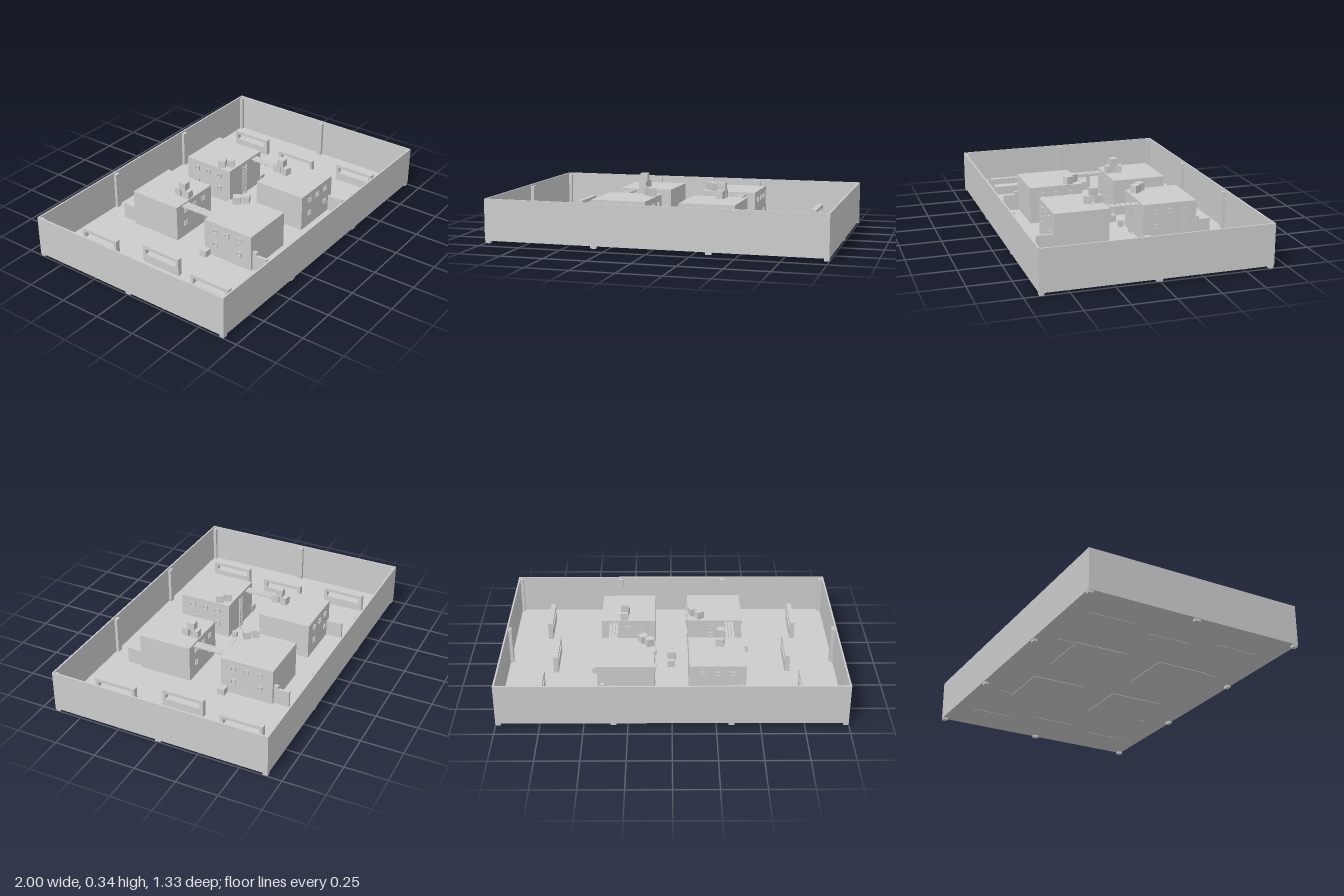
import * as THREE from 'three';

const grey = new THREE.MeshStandardMaterial({ color: 0xcccccc });
grey.name = 'plain grey';

const FLOOR = 0.02, ROOF = 0.245, WALL_TOP = 0.26, CRATE = 0.046;

// Box given by its centre in plan, its bottom and its top
function box(parent, name, x, z, w, d, y0, y1, turn = 0) {
  const mesh = new THREE.Mesh(new THREE.BoxGeometry(w, y1 - y0, d), grey);
  mesh.name = name;
  mesh.position.set(x, (y0 + y1) / 2, z);
  mesh.rotation.y = turn;
  parent.add(mesh);
  return mesh;
}

// Long cover wall with a viewing slot, running along z
function barrier(parent, x, z) {
  const l = 0.26, h = 0.115;
  const shape = new THREE.Shape();
  shape.moveTo(-l / 2, 0);
  shape.lineTo(l / 2, 0);
  shape.lineTo(l / 2, h);
  shape.lineTo(-l / 2, h);
  const slot = new THREE.Path();
  slot.moveTo(-l / 2 + 0.02, 0.06);
  slot.lineTo(-l / 2 + 0.02, 0.095);
  slot.lineTo(l / 2 - 0.02, 0.095);
  slot.lineTo(l / 2 - 0.02, 0.06);
  shape.holes.push(slot);
  const geo = new THREE.ExtrudeGeometry(shape, { depth: 0.03, bevelEnabled: false });
  geo.translate(0, 0, -0.015).rotateY(Math.PI / 2);
  const mesh = new THREE.Mesh(geo, grey);
  mesh.name = 'barrier';
  mesh.position.set(x, 0.013, z);
  parent.add(mesh);
}

// Square window frame on a wall facing +z, made of four bars
function windowFrame(parent, x, y, z) {
  const s = 0.012, t = 0.005;
  for (const k of [-1, 1]) {
    box(parent, 'windowBar', x + k * s, z, t, 0.014, y - s, y + s);
    box(parent, 'windowBar', x, z, s * 2 + t, 0.014, y + k * s - t / 2, y + k * s + t / 2);
  }
}

// Block house with windows on the listed sides (quarter turns from +z)
function house(parent, x, z, sides) {
  const g = new THREE.Group();
  g.name = 'house';
  g.position.set(x, 0, z);
  box(g, 'houseBlock', 0, 0, 0.33, 0.33, 0.012, ROOF);
  for (const q of sides) {
    const face = new THREE.Group();
    face.name = 'windows';
    face.rotation.y = q * Math.PI / 2;
    for (const wx of [-0.085, 0, 0.085]) windowFrame(face, wx, 0.195, 0.166);
    for (const wx of [-0.085, 0.085]) windowFrame(face, wx, 0.105, 0.166);
    g.add(face);
  }
  parent.add(g);
}

// Ladder standing against a wall
function ladder(parent, x, z) {
  const g = new THREE.Group();
  g.name = 'ladder';
  for (const k of [-1, 1]) box(g, 'ladderRail', x + k * 0.017, z, 0.006, 0.008, 0.015, 0.235);
  for (let i = 0; i < 8; i++) {
    const y = 0.04 + i * 0.025;
    box(g, 'ladderRung', x, z, 0.034, 0.006, y, y + 0.006);
  }
  parent.add(g);
}

// Rope bridge of long planks at roof height
function bridge(parent, x) {
  const g = new THREE.Group();
  g.name = 'bridge';
  [-0.019, 0, 0.019].forEach((dx, i) => {
    box(g, 'plank', x + dx, 0, 0.015, 0.2, 0.228, 0.236, (i - 1) * 0.012);
  });
  for (const z of [-0.07, 0, 0.07]) box(g, 'crossbar', x, z, 0.054, 0.01, 0.222, 0.228);
  parent.add(g);
}

function crate(parent, x, z, y, turn) {
  box(parent, 'crate', x, z, CRATE, CRATE, y, y + CRATE, turn);
}

// Everything that repeats when the arena is turned half round
function half() {
  const g = new THREE.Group();
  g.name = 'arenaHalf';
  house(g, 0.265, 0.265, [0, 2]);
  house(g, 0.265, -0.27, [1, 3]);
  bridge(g, 0.352);
  ladder(g, 0.24, -0.09);
  box(g, 'smallPost', 0.118, -0.072, 0.022, 0.03, 0.015, 0.06);

  // Thin side walls behind the houses
  for (const k of [-1, 1]) box(g, 'sideWall', 0.405, k * 0.48, 0.016, 0.1, 0.013, 0.12);
  box(g, 'sideWallStep', 0.403, -0.448, 0.02, 0.026, 0.015, 0.14);

  // Cover barriers
  barrier(g, 0.767, 0.4);
  barrier(g, 0.767, -0.405);
  barrier(g, 0.7, -0.005);

  // Crates on the roofs and beside the house
  crate(g, 0.29, 0.13, ROOF, 0.06);
  crate(g, 0.286, 0.187, ROOF, -0.2);
  crate(g, 0.288, 0.155, ROOF + CRATE, 0.04);
  crate(g, 0.132, -0.185, ROOF, 0.4);
  crate(g, 0.17, -0.147, ROOF, 0.55);
  crate(g, 0.455, -0.125, 0.015, 0);
  return g;
}

export function createModel() {
  const model = new THREE.Group();
  model.name = 'arena';

  box(model, 'floor', 0, 0, 2, 1.333, 0.015, FLOOR);

  // Outer walls and the posts that carry them
  for (const k of [-1, 1]) {
    box(model, 'longWall', 0, k * 0.6615, 2, 0.01, 0.015, WALL_TOP);
    box(model, 'shortWall', k * 0.995, 0, 0.01, 1.333, 0.015, WALL_TOP);
    box(model, 'sidePost', k * 0.983, 0, 0.026, 0.034, 0, 0.25);
    for (const x of [-0.337, 0.333]) box(model, 'wallPost', x, k * 0.65, 0.034, 0.024, 0, 0.25);
    for (const m of [-1, 1]) box(model, 'cornerPost', m * 0.984, k * 0.651, 0.028, 0.028, 0, 0.25);
  }

  const east = half();
  const west = half();
  west.rotation.y = Math.PI;
  model.add(east, west);

  // Crate pile in the middle
  crate(model, 0.002, -0.05, 0.015, 0.04);
  crate(model, 0, 0.005, 0.015, -0.15);
  crate(model, 0.001, -0.022, 0.015 + CRATE, 0.03);
  return model;
}
